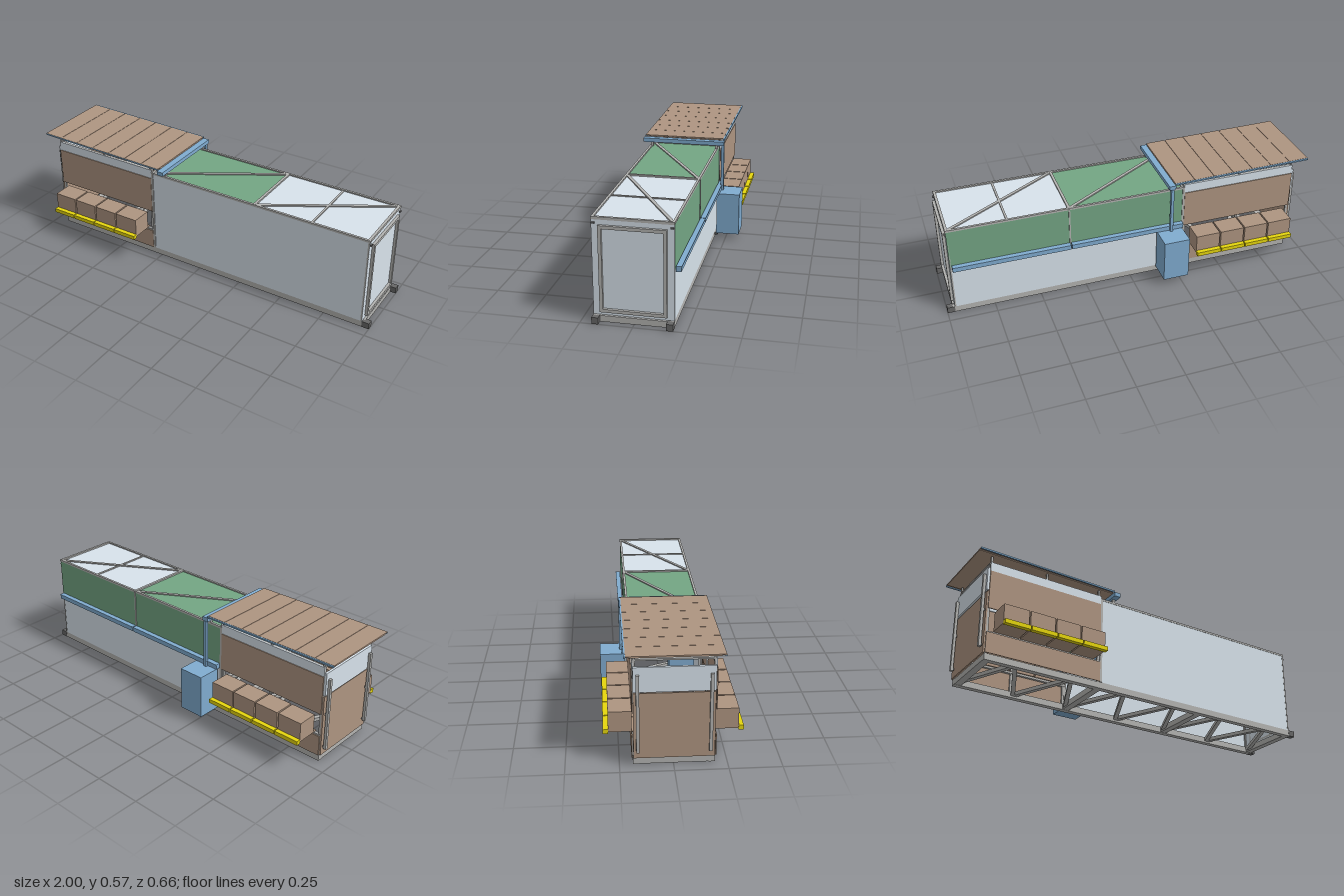
import * as THREE from 'three';

const mat = (color) => new THREE.MeshStandardMaterial({ color, flatShading: true, side: THREE.DoubleSide });
const M = {
  light: mat(0xd8e3ec), brown: mat(0xae9581), green: mat(0x74a684), blue: mat(0x80acd0),
  yellow: mat(0xe6d60e), grey: mat(0xb4b4b2), dark: mat(0x686868),
};

export function createModel() {
  const model = new THREE.Group();
  model.name = 'containerUnit';
  const group = (name, z = 0) => {
    const g = new THREE.Group();
    g.name = name;
    g.position.z = z;
    model.add(g);
    return g;
  };
  // Box given by its limits on each axis
  const box = (parent, name, m, [x0, x1], [y0, y1], [z0, z1]) => {
    const mesh = new THREE.Mesh(new THREE.BoxGeometry(x1 - x0, y1 - y0, Math.abs(z1 - z0)), m);
    mesh.position.set((x0 + x1) / 2, (y0 + y1) / 2, (z0 + z1) / 2);
    mesh.name = name;
    parent.add(mesh);
  };
  // Horizontal bar between two points [x, z]
  const bar = (parent, name, m, a, b, y, w, h) => {
    const dx = b[0] - a[0], dz = b[1] - a[1];
    const mesh = new THREE.Mesh(new THREE.BoxGeometry(Math.hypot(dx, dz), h, w), m);
    mesh.position.set((a[0] + b[0]) / 2, y, (a[1] + b[1]) / 2);
    mesh.rotation.y = -Math.atan2(dz, dx);
    mesh.name = name;
    parent.add(mesh);
  };
  // Thin wall sheet
  const sheet = (parent, name, m, w, h, pos, rx = 0, ry = 0) => {
    const mesh = new THREE.Mesh(new THREE.PlaneGeometry(w, h), m);
    mesh.position.set(...pos);
    mesh.rotation.set(rx, ry, 0);
    mesh.name = name;
    parent.add(mesh);
  };
  const shift = 0.003; // the container sits slightly towards the front

  // Chassis: side rails, cross beams and zigzag bracing
  const chassis = group('chassis', shift);
  for (const s of [-1, 1]) {
    box(chassis, 'sideRail', M.grey, [-0.93, 0.97], [0, 0.033], [s * 0.16, s * 0.19]);
    box(chassis, 'cornerBlock', M.dark, [0.96, 1], [0, 0.033], [s * 0.159, s * 0.191]);
  }
  const beams = [-0.912, -0.3, 0.33, 0.952];
  for (const x of beams) {
    box(chassis, 'crossBeam', M.grey, [x - 0.018, x + 0.018], [0.001, 0.032], [-0.16, 0.16]);
  }
  for (let i = 0; i < 3; i++) {
    const step = (beams[i + 1] - beams[i]) / 4;
    for (let k = 0; k < 4; k++) {
      const x = beams[i] + k * step, s = k % 2 ? 1 : -1;
      bar(chassis, 'brace', M.grey, [x, s * 0.17], [x + step, -s * 0.17], 0.02, 0.022, 0.02);
    }
  }
  box(chassis, 'lockPin', M.dark, [-0.19, -0.17], [0.014, 0.022], [-0.207, -0.18]);

  // Long body: front, back, roof and end sheets
  const body = group('body', shift);
  sheet(body, 'frontWall', M.light, 1.255, 0.475, [0.3325, 0.2705, 0.19]);
  sheet(body, 'lowerBackWall', M.light, 1.255, 0.25, [0.3325, 0.158, -0.19], 0, Math.PI);
  sheet(body, 'endWall', M.light, 0.38, 0.475, [0.96, 0.2705, 0], 0, Math.PI / 2);
  for (const [x0, x1] of [[-0.295, 0.328], [0.332, 0.96]]) {
    sheet(body, 'upperBackWall', M.green, x1 - x0, 0.22, [(x0 + x1) / 2, 0.393, -0.191], 0, Math.PI);
  }
  sheet(body, 'greenRoof', M.green, 0.625, 0.38, [0.0175, 0.504, 0], -Math.PI / 2);
  sheet(body, 'lightRoof', M.light, 0.63, 0.38, [0.645, 0.504, 0], -Math.PI / 2);

  // Roof frame with a diagonal over each half
  const frame = group('roofFrame', shift);
  for (const s of [-1, 1]) {
    box(frame, 'edgeRail', M.grey, [-0.295, 0.963], [0.5, 0.511], [s * 0.18, s * 0.192]);
    box(frame, 'bodyPost', M.grey, [-0.302, -0.29], [0.033, 0.51], [s * 0.18, s * 0.194]);
    box(frame, 'endPost', M.grey, [0.952, 0.9595], [0.033, 0.5], [s * 0.18, s * 0.191]);
    box(frame, 'endLug', M.dark, [0.96, 0.968], [0.48, 0.487], [s * 0.173, s * 0.188]);
  }
  box(frame, 'midPost', M.grey, [0.326, 0.334], [0.3, 0.505], [-0.195, -0.185]);
  for (const x of [-0.293, 0.33, 0.955]) {
    box(frame, 'roofBar', M.grey, [x - 0.007, x + 0.007], [0.499, 0.512], [-0.19, 0.19]);
  }
  box(frame, 'thinRoofBar', M.grey, [0.645, 0.656], [0.502, 0.509], [-0.185, 0.185]);
  bar(frame, 'diagonal', M.grey, [-0.29, 0.183], [0.33, -0.185], 0.506, 0.016, 0.008);
  bar(frame, 'diagonal', M.grey, [0.335, 0.183], [0.955, -0.185], 0.506, 0.016, 0.008);

  // Rectangular frame on the end wall
  const door = group('endDoorFrame', shift);
  for (const s of [-1, 1]) {
    box(door, 'doorSide', M.grey, [0.96, 0.974], [0.05, 0.475], [s * 0.142, s * 0.158]);
  }
  for (const y of [0.05, 0.459]) {
    box(door, 'doorCross', M.grey, [0.96, 0.974], [y, y + 0.016], [-0.142, 0.142]);
  }

  // Cabin: both sides alike, each with a hatch of crates
  const cabin = group('cabin', shift);
  for (const s of [-1, 1]) {
    box(cabin, 'lowerPanel', M.brown, [-0.93, -0.302], [0.035, 0.143], [s * 0.191, s * 0.196]);
    box(cabin, 'upperPanel', M.brown, [-0.93, -0.302], [0.27, 0.475], [s * 0.191, s * 0.196]);
    box(cabin, 'upperBand', M.light, [-0.93, -0.302], [0.475, 0.525], [s * 0.186, s * 0.192]);
    box(cabin, 'topRail', M.grey, [-0.93, -0.295], [0.513, 0.525], [s * 0.176, s * 0.191]);
    box(cabin, 'sillRail', M.grey, [-0.93, -0.302], [0.14, 0.151], [s * 0.175, s * 0.19]);
    for (const x of [-0.924, -0.617, -0.31]) {
      box(cabin, 'cabinPost', M.grey, [x - 0.006, x + 0.006], [0.033, 0.525], [s * 0.178, s * 0.188]);
      box(cabin, 'canopySupport', M.grey, [x - 0.005, x + 0.005], [0.525, 0.56], [s * 0.178, s * 0.188]);
    }
    for (let i = 0; i < 4; i++) {
      const x = -0.893 + i * 0.1405;
      box(cabin, 'crate', M.brown, [x, x + 0.133], [0.154, 0.254], [s * 0.193, s * 0.302]);
      box(cabin, 'crateTray', M.brown, [x, x + 0.133], [0.151, 0.154], [s * 0.17, s * 0.302]);
      box(cabin, 'bumper', M.yellow, [x - 0.001, x + 0.134], [0.143, 0.165], [s * 0.302, s * 0.326]);
    }
    // Locking rods on the cabin end
    box(cabin, 'lockRod', M.grey, [-0.957, -0.943], [0.07, 0.46], [s * 0.16, s * 0.175]);
    for (const y of [0.075, 0.26, 0.44]) {
      box(cabin, 'rodBracket', M.dark, [-0.945, -0.928], [y, y + 0.012], [s * 0.16, s * 0.175]);
    }
  }
  box(cabin, 'endPanel', M.brown, [-0.938, -0.93], [0.035, 0.365], [-0.188, 0.188]);
  box(cabin, 'endFlap', M.light, [-0.942, -0.93], [0.372, 0.495], [-0.188, 0.188]);
  for (const x of [-0.924, -0.31]) {
    box(cabin, 'topCrossBar', M.grey, [x - 0.006, x + 0.006], [0.522, 0.53], [-0.178, 0.178]);
  }

  // Sloping plank canopy over a closed deck, with blue edges
  const canopy = group('canopy');
  const slope = new THREE.Group();
  slope.name = 'slopingRoof';
  slope.position.set(-0.617, 0.566, 0);
  slope.rotation.z = -0.014;
  canopy.add(slope);
  box(slope, 'deck', M.brown, [-0.382, 0.383], [-0.005, -0.001], [-0.205, 0.205]);
  for (let i = 0; i < 7; i++) {
    const x = -0.382 + i * 0.1094;
    box(slope, 'plank', M.brown, [x, x + 0.1074], [-0.001, 0.003], [-0.218, 0.225]);
  }
  for (const s of [-1, 1]) {
    box(slope, 'edgeStrip', M.blue, [-0.382, 0.383], [-0.006, 0.002], [s * 0.218, s * 0.226]);
  }
  box(canopy, 'crossBeam', M.blue, [-0.237, -0.202], [0.531, 0.553], [-0.225, 0.23]);
  for (const s of [-1, 1]) {
    box(canopy, 'beamFoot', M.grey, [-0.225, -0.212], [0.505, 0.531], [s * 0.176, s * 0.19]);
  }

  // Rear tank with riser post and wall channel
  const service = group('serviceEquipment');
  box(service, 'tank', M.blue, [-0.285, -0.145], [0.035, 0.27], [-0.327, -0.2]);
  box(service, 'riser', M.blue, [-0.228, -0.212], [0.27, 0.531], [-0.227, -0.211]);
  for (const [x0, x1] of [[-0.29, 0.327], [0.333, 0.95]]) {
    box(service, 'channel', M.blue, [x0, x1], [0.273, 0.294], [-0.216, -0.192]);
    box(service, 'channelLid', M.blue, [x0, x1], [0.294, 0.3], [-0.218, -0.192]);
  }
  box(service, 'innerUnit', M.blue, [-0.285, -0.18], [0.15, 0.25], [0.03, 0.16]);
  return model;
}
